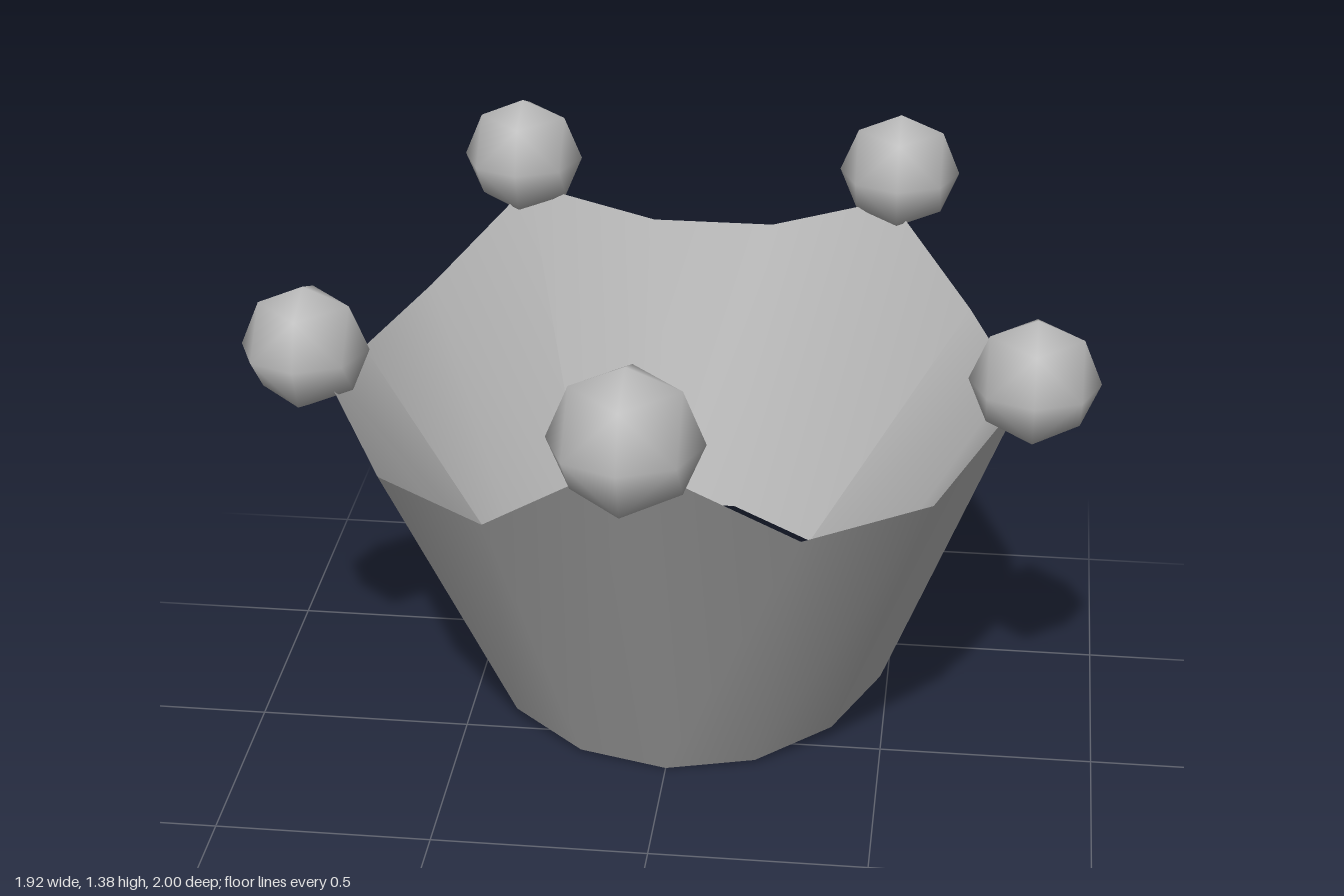
import * as THREE from 'three';

const SIDES = 15;

// Closed band between two rings of equal length, smooth around the loop.
function band(lower, upper) {
  const n = lower.length;
  const index = [];
  for (let i = 0; i < n; i++) {
    const j = (i + 1) % n;
    index.push(i, j, n + j, i, n + j, n + i);
  }
  const geometry = new THREE.BufferGeometry().setFromPoints([...lower, ...upper]);
  geometry.setIndex(index);
  geometry.computeVertexNormals();
  return geometry;
}

// Round ring tilted up towards the back; steps are positions in 1/15 turns from the front.
function tiltedRing(radiusX, radiusZ, lift, steps) {
  return steps.map((step) => {
    const a = (step / SIDES) * Math.PI * 2;
    const z = -0.36 + radiusZ * Math.cos(a);
    return new THREE.Vector3(radiusX * Math.sin(a), 0.23 * (0.14 - z) + lift, z);
  });
}

export function createModel() {
  const group = new THREE.Group();
  const grey = new THREE.MeshStandardMaterial({ color: 0xbfbfbf });
  grey.name = 'grey';
  grey.side = THREE.DoubleSide;

  const add = (name, geometry) => {
    const mesh = new THREE.Mesh(geometry, grey);
    mesh.name = name;
    group.add(mesh);
    return mesh;
  };

  // Rim: five peaks with two low points between neighbours, front to back on the left.
  const half = [
    [0, 1.17, 0.83], [0.34, 0.88, 0.6], [0.61, 0.86, 0.37], [0.79, 1.0, 0.1],
    [0.77, 0.865, -0.28], [0.66, 0.9, -0.58], [0.45, 1.08, -0.81], [0.15, 0.95, -0.93],
  ].map((p) => new THREE.Vector3(...p));
  const mirrored = half.slice(1).reverse().map((p) => new THREE.Vector3(-p.x, p.y, p.z));
  const rim = [...half, ...mirrored];

  // Base edge, and the coarser opening whose points are shared in pairs.
  const base = tiltedRing(0.512, 0.5, 0, rim.map((_, i) => i));
  const opening = tiltedRing(0.38, 0.375, 0.05,
    [0, 1.5, 1.5, 3.5, 3.5, 5.5, 5.5, 7, 8, 9.5, 9.5, 11.5, 11.5, 13.5, 13.5]);

  add('outerWall', band(base, rim));
  add('innerWall', band([...rim], opening));
  add('bottomLip', band(opening, base));

  // Faceted balls on the peaks.
  const ball = (name, x, y, z, radius) =>
    add(name, new THREE.OctahedronGeometry(radius, 1)).position.set(x, y, z);
  ball('frontBall', 0, 1.217, 0.835, 0.163);
  for (const [side, s] of [['left', 1], ['right', -1]]) {
    ball(side + 'SideBall', s * 0.815, 1.05, 0.12, 0.146);
    ball(side + 'BackBall', s * 0.468, 1.14, -0.854, 0.146);
  }
  return group;
}
